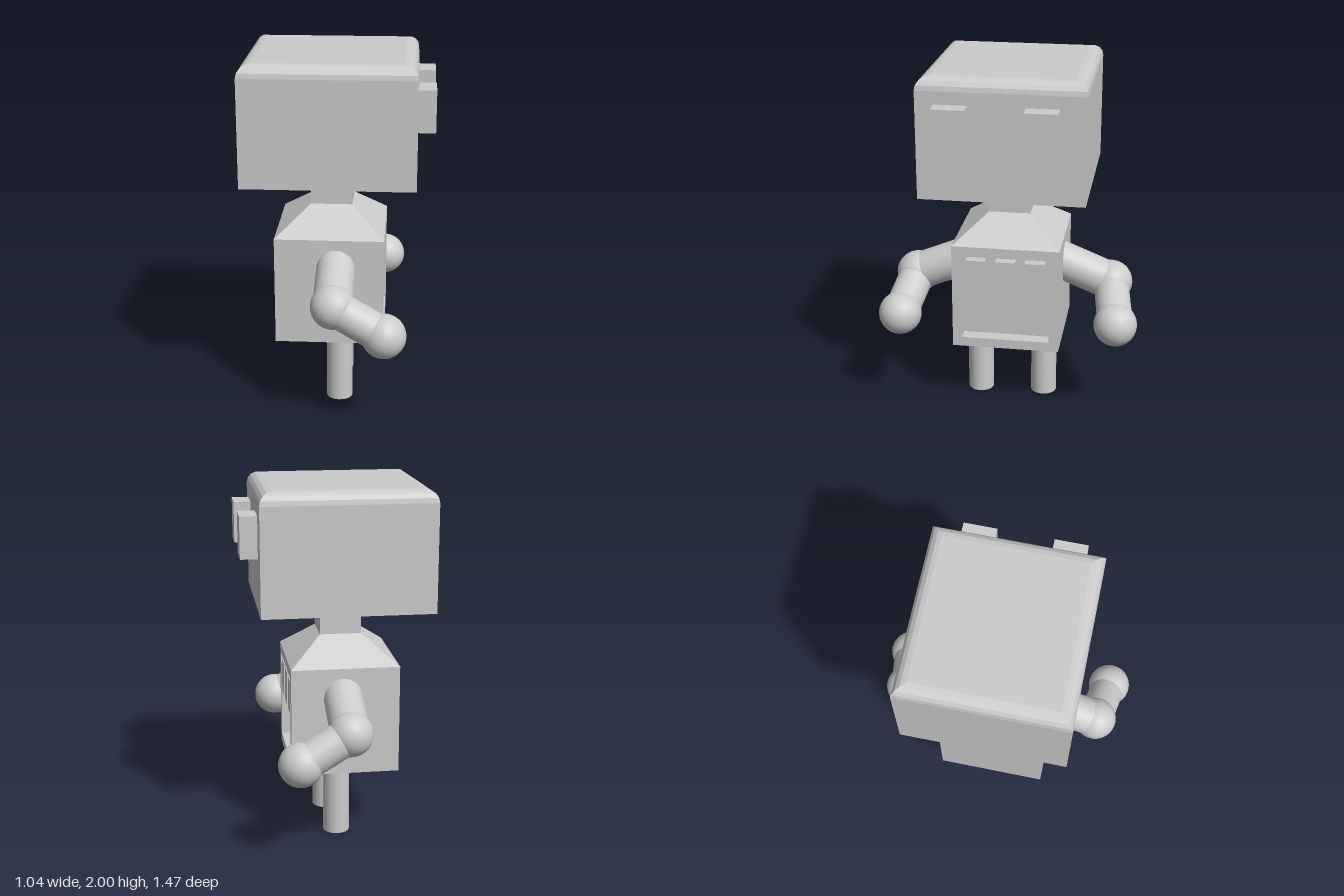
import * as THREE from 'three';

export function createModel() {
  const robot = new THREE.Group();
  robot.name = 'robot';
  const grey = new THREE.MeshStandardMaterial({ color: 0xcccccc });
  grey.name = 'light grey';

  const add = (name, geometry) => {
    const mesh = new THREE.Mesh(geometry, grey);
    mesh.name = name;
    robot.add(mesh);
    return mesh;
  };

  // Box given by its limits on each axis
  const box = (name, x0, x1, y0, y1, z0, z1) =>
    add(name, new THREE.BoxGeometry(x1 - x0, y1 - y0, z1 - z0))
      .position.set((x0 + x1) / 2, (y0 + y1) / 2, (z0 + z1) / 2);

  // Stack of rectangles [y, x0, x1, z0, z1], bottom to top, closed and faceted
  const loft = (name, levels) => {
    const rings = levels.map(([y, x0, x1, z0, z1]) =>
      [[x0, y, z1], [x1, y, z1], [x1, y, z0], [x0, y, z0]]);
    const points = [];
    const quad = (a, b, c, d) => points.push(...a, ...b, ...c, ...a, ...c, ...d);
    for (let i = 0; i < rings.length - 1; i++) {
      for (let j = 0; j < 4; j++) {
        const k = (j + 1) % 4;
        quad(rings[i][j], rings[i][k], rings[i + 1][k], rings[i + 1][j]);
      }
    }
    const low = rings[0], top = rings[rings.length - 1];
    quad(low[3], low[2], low[1], low[0]);
    quad(top[0], top[1], top[2], top[3]);
    const geometry = new THREE.BufferGeometry();
    geometry.setAttribute('position', new THREE.Float32BufferAttribute(points, 3));
    geometry.computeVertexNormals();
    add(name, geometry);
  };

  // Round rod between two points
  const rod = (name, from, to, radius) => {
    const a = new THREE.Vector3(...from), b = new THREE.Vector3(...to);
    const along = b.clone().sub(a);
    const mesh = add(name, new THREE.CylinderGeometry(radius, radius, along.length(), 32));
    mesh.position.copy(a).lerp(b, 0.5);
    mesh.quaternion.setFromUnitVectors(new THREE.Vector3(0, 1, 0), along.normalize());
  };

  const ball = (name, centre, radius) =>
    add(name, new THREE.SphereGeometry(radius, 32, 24)).position.set(...centre);

  // Head with its top edges rounded off in steps
  const bevel = 0.07, steps = 4;
  const headLevels = [[1.335, -0.52, 0.425, -0.45, 0.455]];
  for (let i = 0; i <= steps; i++) {
    const angle = (i / steps) * Math.PI / 2;
    const inset = bevel * (1 - Math.cos(angle));
    headLevels.push([2 - bevel + bevel * Math.sin(angle),
      -0.52 + inset, 0.425 - inset, -0.45 + inset, 0.455 - inset]);
  }
  loft('head', headLevels);

  // Eyes
  box('leftEye', 0.42, 0.52, 1.63, 1.86, -0.31, -0.13);
  box('rightEye', 0.42, 0.52, 1.63, 1.86, 0.173, 0.353);

  // Neck and sloping shoulders
  box('neck', -0.163, 0.07, 1.15, 1.335, -0.108, 0.125);
  loft('shoulders', [
    [1.0, -0.354, 0.254, -0.297, 0.311],
    [1.15, -0.163, 0.07, -0.108, 0.125],
  ]);

  // Body, with a frame around the sunken chest panel
  const floorX = 0.177;
  box('body', -0.354, floorX, 0.385, 1.0, -0.297, 0.311);
  const rectangle = (path, z0, z1, y0, y1) =>
    path.moveTo(-z1, y0).lineTo(-z0, y0).lineTo(-z0, y1).lineTo(-z1, y1).closePath();
  const outline = rectangle(new THREE.Shape(), -0.297, 0.311, 0.385, 1.0);
  outline.holes.push(rectangle(new THREE.Path(), -0.243, 0.259, 0.44, 0.942));
  const frame = add('chestFrame',
    new THREE.ExtrudeGeometry(outline, { depth: 0.254 - floorX, bevelEnabled: false }));
  frame.rotation.y = Math.PI / 2;
  frame.position.x = floorX;

  // Chest buttons
  for (const z of [0.178, 0.009, -0.157]) {
    box('chestButton', floorX - 0.01, 0.252, 0.72, 0.917, z - 0.056, z + 0.056);
  }

  // Legs
  rod('rightLeg', [0.003, 0, 0.191], [0.003, 0.4, 0.191], 0.075);
  rod('leftLeg', [-0.012, 0, -0.184], [-0.012, 0.4, -0.184], 0.075);

  // Arms: upper arm, elbow, forearm, hand
  const arms = [
    ['right', [-0.012, 0.87, 0.2], [-0.012, 0.718, 0.565], [0.265, 0.575, 0.613]],
    ['left', [-0.037, 0.87, -0.19], [-0.037, 0.718, -0.567], [0.238, 0.575, -0.615]],
  ];
  for (const [side, shoulder, elbow, hand] of arms) {
    rod(side + 'UpperArm', shoulder, elbow, 0.109);
    ball(side + 'Elbow', elbow, 0.123);
    rod(side + 'Forearm', elbow, hand, 0.1);
    ball(side + 'Hand', hand, 0.122);
  }

  return robot;
}
